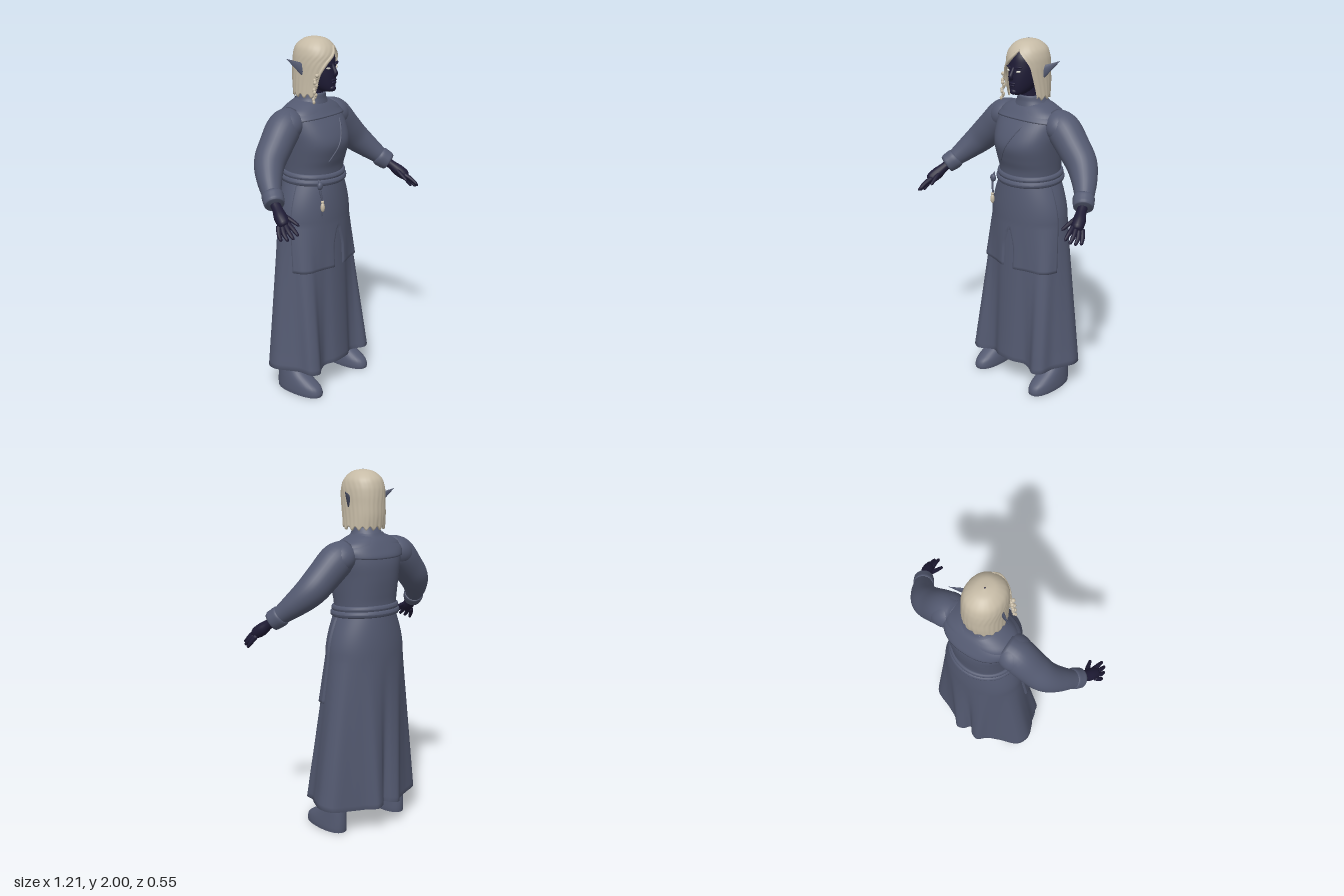
import * as THREE from 'three';

const mat = (name, color, side = THREE.DoubleSide) => {
  const m = new THREE.MeshStandardMaterial({ color, side });
  m.name = name;
  return m;
};
const TAU = Math.PI * 2;

// Smooth lookup in a table of rows, t from 0 to 1
function sample(rows, t) {
  const f = t * (rows.length - 1), i = Math.min(Math.floor(f), rows.length - 2), k = f - i;
  const [a, b, c, d] = [rows[Math.max(i - 1, 0)], rows[i], rows[i + 1], rows[Math.min(i + 2, rows.length - 1)]];
  return b.map((_, j) => b[j] + 0.5 * k * (c[j] - a[j] + k * (2 * a[j] - 5 * b[j] + 4 * c[j] - d[j]
    + k * (3 * (b[j] - c[j]) + d[j] - a[j]))));
}

// Surface from point(u, v); u runs around, v runs downwards
function grid(nu, nv, closed, point) {
  const pos = [], index = [], w = closed ? nu : nu + 1;
  for (let j = 0; j <= nv; j++) for (let i = 0; i < w; i++) pos.push(...point(i / nu, j / nv));
  for (let j = 0; j < nv; j++) for (let i = 0; i < nu; i++) {
    const n = (i + 1) % w, a = j * w + i, c = j * w + n;
    index.push(a, a + w, c, c, a + w, c + w);
  }
  const g = new THREE.BufferGeometry();
  g.setAttribute('position', new THREE.Float32BufferAttribute(pos, 3));
  g.setIndex(index);
  g.computeVertexNormals();
  return g;
}

// Rows of [y, half width, front z, back z, centre x], from top to bottom
function ring(row, a, power = 1) {
  const [y, rx, zf, zb, cx = 0] = row;
  const s = Math.sin(a), c = Math.cos(a);
  const p = v => Math.sign(v) * Math.abs(v) ** power;
  return [cx + rx * p(s), y, (zf + zb) / 2 + (zf - zb) / 2 * p(c)];
}
const loft = (rows, power = 1, nu = 48, nv = 40) =>
  grid(nu, nv, true, (u, v) => ring(sample(rows, v), u * TAU, power));

// Round sweep through points [x, y, z, radius]
function sweep(points, side = 1, nv = 24, nu = 16) {
  const curve = new THREE.CatmullRomCurve3(points.map(p => new THREE.Vector3(p[0] * side, p[1], p[2])));
  const fr = curve.computeFrenetFrames(nv);
  return grid(nu, nv, true, (u, v) => {
    const j = Math.round(v * nv), end = j === 0 || j === nv;
    const r = end ? 0.0005 : sample(points, v)[3];
    return curve.getPoint(v)
      .addScaledVector(fr.normals[j], r * Math.cos(u * TAU))
      .addScaledVector(fr.binormals[j], -r * Math.sin(u * TAU)).toArray();
  });
}

// Pleated hem outline, one half from front centre to back centre
const hemHalf = [[0, .15], [.06, .142], [.12, .112], [.165, .122], [.22, .152], [.27, .128], [.285, .06],
  [.315, 0], [.34, -.08], [.31, -.15], [.2, -.195], [.125, -.23], [.075, -.275], [.03, -.262], [0, -.23]];
const hemFull = [...hemHalf, ...hemHalf.slice(1, -1).reverse().map(([x, z]) => [-x, z])];
const hem = new THREE.CatmullRomCurve3(hemFull.map(([x, z]) => new THREE.Vector3(x, 0, z)), true);

function skirtPoint(u, y, scale = 1) {
  u = ((u % 1) + 1) % 1;
  const k = Math.sin(Math.min((1.25 - y) / .25, 1) * Math.PI / 2);
  const w = Math.max(0, (1 - y) / .85);
  const h = hem.getPoint(u);
  const x = (.165 + .07 * k) * Math.sin(u * TAU) * (1 - w) + h.x * w;
  const z = (-.07 + (.155 + .017 * k) * Math.cos(u * TAU)) * (1 - w) + h.z * w;
  return [x * scale, y, -.07 + (z + .07) * scale];
}

const torsoRows = [[1.665, .075, -.015, -.16], [1.64, .14, .01, -.185], [1.6, .195, .04, -.21],
  [1.52, .197, .095, -.233], [1.44, .187, .124, -.235], [1.36, .178, .108, -.228], [1.3, .172, .09, -.222],
  [1.23, .168, .085, -.222]];

export function createModel() {
  const group = new THREE.Group();
  const cloth = mat('slate cloth', 0x535970);
  const skin = mat('dark skin', 0x1e1b35);
  const hair = mat('pale hair', 0xc6bba6);
  const eyeMat = mat('pale eyes', 0xd9d7cc);
  const add = (name, geo, m, pos, scale) => {
    const mesh = new THREE.Mesh(geo, m);
    mesh.name = name;
    if (pos) mesh.position.set(...pos);
    if (scale) mesh.scale.set(...scale);
    group.add(mesh);
    return mesh;
  };
  const ball = new THREE.SphereGeometry(1, 28, 20);

  // Skirt with a turned-in hem
  add('skirt', grid(168, 41, true, (u, v) => {
    const j = Math.round(v * 41), y = 1.25 - 1.1 * Math.min(j, 40) / 40;
    const wave = j > 37 ? .008 * Math.cos(u * TAU * 4) : 0;
    const p = skirtPoint(u, y, j > 40 ? .96 : 1);
    return [p[0], p[1] + wave, p[2]];
  }), cloth);

  // Bodice, yoke over the shoulders and collar
  add('bodice', loft(torsoRows, .88), cloth);
  add('yoke', grid(64, 16, true, (u, v) => {
    const a = u * TAU, bottom = 1.56 + .02 * Math.cos(a), y = 1.668 + (bottom - 1.668) * Math.min(1, v * 1.07);
    const row = sample([[1.67, .08, -.01, -.165], [1.64, .15, .02, -.195], [1.6, .203, .05, -.22],
      [1.55, .206, .088, -.24]], Math.min(1, (1.668 - y) / .118));
    if (v === 1) { row[1] -= .012; row[2] -= .012; row[3] += .012; }
    const p = ring(row, a, .88);
    return [p[0], y, p[2]];
  }), cloth);
  add('collar', loft([[1.7, .062, -.005, -.13], [1.695, .07, .003, -.14], [1.67, .082, .005, -.16],
    [1.645, .1, .01, -.175]]), cloth);

  // Diagonal closure and hanging fold on the chest
  const seam = [];
  for (let i = 0; i <= 8; i++) {
    const t = i / 8, y = 1.565 - .225 * t, x = .07 - .14 * t;
    const row = sample(torsoRows, (2 + (1.6 - y) / .08) / 7);
    const c = Math.sqrt(1 - Math.abs(x / row[1]) ** (2 / .88)) ** .88;
    seam.push([x, y, (row[2] + row[3]) / 2 + (row[2] - row[3]) / 2 * c, .004]);
  }
  add('chestSeam', sweep(seam, 1, 24, 8), cloth);

  // Belt strands
  for (const [y, out, r] of [[1.265, .008, .017], [1.237, .014, .018]]) {
    add('belt', grid(64, 12, true, (u, v) => {
      const a = u * TAU, b = v * TAU, o = out + r * .7 * Math.cos(b);
      return [(.172 + o) * Math.sin(a), y - r * Math.sin(b) - .008 * Math.cos(a), -.067 + (.152 + o) * Math.cos(a)];
    }), cloth);
  }

  // Split apron panels wrapped over the hips
  for (const s of [1, -1]) {
    add('apronPanel', grid(36, 30, false, (u, v) => {
      const t = s > 0 ? u : 1 - u;
      const y = 1.215 - .48 * Math.min(1, v * 30 / 29);
      const start = .021 * THREE.MathUtils.smoothstep(v, .45, .75);
      const edge = t === 1 || v === 1 || (t === 0 && v > .5);
      return skirtPoint(s * (start + (.225 - start) * t), y, edge ? .99 : 1.045);
    }), cloth);
  }

  // Cord and bead hanging from the belt
  add('cord', sweep([[-.135, 1.26, .08, .006], [-.14, 1.2, .092, .006], [-.13, 1.14, .1, .005],
    [-.132, 1.04, .1, .003]], 1, 16, 8), cloth);
  add('cordKnot', ball, cloth, [-.137, 1.225, .09], [.018, .022, .014]);
  add('bead', ball, hair, [-.131, 1.105, .103], [.012, .026, .012]);
  add('beadCap', ball, hair, [-.131, 1.135, .102], [.009, .009, .009]);

  for (const s of [1, -1]) {
    // Sleeve, shoulder cap and cuff
    add('sleeve', sweep([[.13, 1.575, -.095, .07], [.21, 1.54, -.09, .093], [.3, 1.455, -.078, .09],
      [.375, 1.38, -.06, .083], [.44, 1.31, -.005, .066], [.49, 1.25, .055, .049], [.515, 1.22, .088, .044]], s, 36, 28), cloth);
    const cap = add('shoulderCap', ball, cloth, [s * .205, 1.545, -.09], [.1, .083, .099]);
    cap.rotation.z = -s * .6;
    add('cuff', sweep([[.478, 1.262, .042, .05], [.485, 1.252, .053, .057], [.5, 1.235, .073, .056],
      [.513, 1.222, .09, .053], [.516, 1.218, .094, .045]], s, 14, 24), cloth);

    // Hand
    add('palm', sweep([[.505, 1.225, .08, .026], [.52, 1.2, .115, .027], [.538, 1.17, .15, .034],
      [.553, 1.145, .185, .03], [.56, 1.135, .2, .018]], s, 16, 16), skin);
    const fingers = [
      [[.535, 1.155, .185], [.545, 1.13, .235], [.55, 1.1, .277]],
      [[.55, 1.147, .187], [.568, 1.115, .23], [.573, 1.085, .267]],
      [[.56, 1.14, .178], [.582, 1.105, .21], [.588, 1.075, .242]],
      [[.565, 1.14, .16], [.588, 1.1, .182], [.598, 1.068, .205]],
      [[.525, 1.185, .135], [.508, 1.16, .185], [.495, 1.13, .238]],
    ];
    for (const f of fingers) add('finger', sweep(f.map((p, i) => [...p, [.014, .012, .008][i]]), s, 12, 10), skin);

    // Trouser leg and boot
    add('trouserLeg', loft([[.85, .075, 0, -.16, s * .11], [.5, .065, -.01, -.14, s * .15],
      [.2, .052, 0, -.125, s * .205], [.12, .05, 0, -.125, s * .215]], 1, 24, 12), cloth);
    const boot = loft([[.24, .05, 0, -.125, s * .212], [.16, .053, .005, -.13, s * .216], [.12, .056, .035, -.136, s * .218],
      [.08, .061, .1, -.14, s * .219], [.05, .065, .145, -.142, s * .219], [.02, .067, .16, -.142, s * .219],
      [0, .065, .158, -.14, s * .219]], .88, 32, 24);
    add('boot', boot, cloth);
    add('sole', grid(32, 1, true, (u, v) =>
      ring(v ? [0, .001, .01, .009, s * .219] : [0, .065, .158, -.14, s * .219], u * TAU, .88)), cloth);

    // Pointed ear, flattened and swept back
    const ear = new THREE.ConeGeometry(.034, .12, 16);
    ear.scale(1, 1, .32);
    const base = new THREE.Vector3(s * .088, 1.828, -.045), tip = new THREE.Vector3(s * .178, 1.897, -.108);
    const dir = tip.clone().sub(base).normalize();
    const flat = new THREE.Vector3(s * .5, 0, .85).addScaledVector(dir, -dir.dot(new THREE.Vector3(s * .5, 0, .85))).normalize();
    ear.applyMatrix4(new THREE.Matrix4().makeBasis(new THREE.Vector3().crossVectors(dir, flat), dir, flat));
    add('ear', ear, cloth, base.add(tip).multiplyScalar(.5).toArray());

    // Eye and brow
    const eye = add('eye', ball, eyeMat, [s * .036, 1.843, .0675], [.014, .005, .0045]);
    eye.rotation.set(0, s * .35, s * .12);
    const brow = add('brow', ball, skin, [s * .036, 1.864, .066], [.024, .006, .009]);
    brow.rotation.set(0, s * .35, s * .2);
  }

  // Head, neck and face
  add('neck', loft([[1.78, .05, 0, -.12], [1.7, .05, -.01, -.125], [1.64, .06, -.01, -.14]], 1, 24, 8), skin);
  add('head', loft([[1.975, .004, -.04, -.05], [1.965, .05, .02, -.11], [1.92, .082, .058, -.145], [1.87, .087, .07, -.152],
    [1.82, .082, .076, -.145], [1.775, .07, .078, -.12], [1.74, .052, .076, -.07], [1.718, .03, .068, -.02],
    [1.71, .004, .035, .03]]), skin);
  add('nose', sweep([[0, 1.868, .06, .008], [0, 1.84, .076, .01], [0, 1.812, .089, .013], [0, 1.8, .078, .01]], 1, 14, 12), skin);
  add('upperLip', ball, skin, [0, 1.779, .077], [.022, .006, .009]);
  add('lowerLip', ball, skin, [0, 1.766, .077], [.018, .006, .009]);
  add('chin', ball, skin, [0, 1.733, .066], [.022, .017, .018]);

  // Bobbed hair, rows end with the left and right edges of the face opening
  const hairRows = [[2, .003, -.045, -.055, .25, -.25], [1.988, .052, .012, -.11, .25, -.25],
    [1.955, .09, .052, -.153, .25, -.25], [1.915, .105, .073, -.17, .6, .05], [1.87, .109, .078, -.176, .88, .5],
    [1.82, .109, .078, -.177, 1.0, .75], [1.76, .11, .07, -.176, 1.08, .82], [1.695, .112, .06, -.168, 1.15, .88]];
  add('hair', grid(80, 41, false, (u, v) => {
    const j = Math.round(v * 41), row = sample(hairRows, Math.min(1, j / 40));
    const a = row[4] + u * (TAU - row[5] - row[4]);
    const p = ring(row.slice(0, 4), a, .94);
    const lock = 1 + .012 * v * Math.cos(u * 80 * Math.PI / 2), inner = j > 40 ? .93 : 1;
    const jag = v > .85 ? .012 * (v - .85) / .15 * Math.sin(u * 71) : 0;
    return [p[0] * lock * inner, p[1] + jag, -.05 + (p[2] + .05) * lock * inner];
  }), hair);

  // Swept fringe edges and a thin braid
  add('fringe', sweep([[.028, 1.957, .048, .006], [-.005, 1.915, .074, .009], [-.052, 1.868, .064, .009],
    [-.082, 1.81, .042, .008], [-.088, 1.73, .025, .005]], 1, 24, 10), hair);
  for (let i = 0; i < 12; i++) {
    const y = 1.81 - .0125 * i;
    add('braidKnot', ball, hair, [-.1 - .0014 * i + .006 * Math.sin(i * 1.6), y, .035 + .006 * Math.cos(i * 1.6)],
      [.011 - .0003 * i, .011, .011 - .0003 * i]);
  }
  return group;
}
